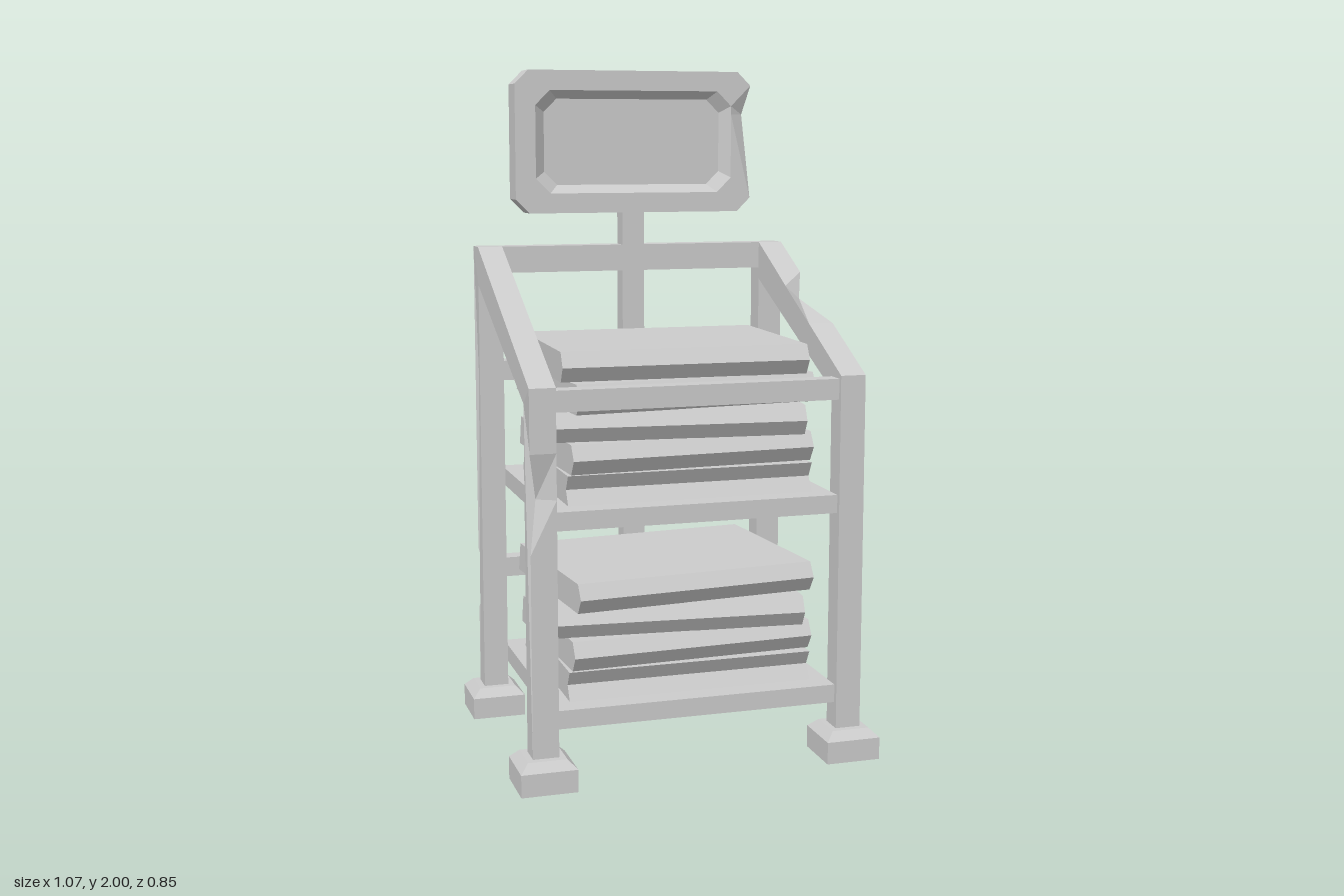
import * as THREE from 'three';

const material = new THREE.MeshStandardMaterial({ color: 0xcccccc, flatShading: true });

export function createModel() {
  const root = new THREE.Group();

  const add = (name, geometry, x = 0, y = 0, z = 0, parent = root) => {
    const mesh = new THREE.Mesh(geometry, material);
    mesh.name = name;
    mesh.position.set(x, y, z);
    parent.add(mesh);
    return mesh;
  };
  // Box given by its lower and upper limits
  const bar = (name, x0, x1, y0, y1, z0, z1) =>
    add(name, new THREE.BoxGeometry(x1 - x0, y1 - y0, z1 - z0), (x0 + x1) / 2, (y0 + y1) / 2, (z0 + z1) / 2);
  // Outline in (z, y), extruded across x from x0 to x1
  const acrossX = (points, x0, x1) => {
    const shape = new THREE.Shape(points.map(([z, y]) => new THREE.Vector2(z, y)));
    return new THREE.ExtrudeGeometry(shape, { depth: x1 - x0, bevelEnabled: false })
      .rotateY(-Math.PI / 2).translate(x1, 0, 0);
  };
  // Pushes the outer vertices found at (z, y) inwards to make a dent
  const dent = (geometry, z, y, dx, dy, dz) => {
    const p = geometry.attributes.position;
    for (let i = 0; i < p.count; i++) {
      if (Math.abs(p.getX(i)) > 0.48 && Math.hypot(p.getZ(i) - z, p.getY(i) - y) < 0.003) {
        p.setXYZ(i, p.getX(i) + dx, y + dy, z + dz);
      }
    }
    geometry.computeVertexNormals();
  };

  // Side frames: front post, sloping rail and rear post in one piece
  const inner = [[-0.31, 0.08], [-0.31, 1.355], [0.31, 1.08], [0.31, 0.08]];
  const leftFrame = acrossX([
    [0.38, 0.08], [0.38, 1.13], [0.13, 1.253], [-0.07, 1.35], [-0.14, 1.386],
    [-0.31, 1.47], [-0.38, 1.47], [-0.38, 0.08], ...inner], 0.415, 0.49);
  dent(leftFrame, -0.07, 1.35, -0.03, -0.04, 0);
  add('leftSideFrame', leftFrame);
  const rightFrame = acrossX([
    [0.38, 0.08], [0.38, 0.67], [0.379, 0.82], [0.38, 0.95], [0.38, 1.13], [-0.31, 1.47],
    [-0.38, 1.47], [-0.38, 0.52], [-0.379, 0.42], [-0.38, 0.33], [-0.38, 0.08], ...inner], -0.49, -0.415);
  dent(rightFrame, 0.379, 0.82, 0.022, 0, -0.03);
  dent(rightFrame, -0.379, 0.42, 0.022, 0, 0.03);
  add('rightSideFrame', rightFrame);

  // Feet with a sloped upper edge
  const footProfile = [[0, 0], [0.081, 0], [0.081, 0.065], [0.056, 0.09], [0, 0.09]]
    .map(([r, y]) => new THREE.Vector2(r * Math.SQRT2, y));
  for (const x of [-0.453, 0.453]) {
    for (const z of [-0.345, 0.345]) {
      add('foot', new THREE.LatheGeometry(footProfile, 4).rotateY(Math.PI / 4), x, 0, z);
    }
  }

  // Shelves, crossbars and sign post
  for (const y of [0.165, 0.73]) bar('shelf', -0.415, 0.415, y, y + 0.053, -0.365, 0.365);
  bar('topRail', -0.415, 0.415, 1.39, 1.47, -0.38, -0.31);
  bar('frontRail', -0.415, 0.415, 1.06, 1.12, 0.31, 0.367);
  for (const y of [0.44, 1.06]) bar('backRail', -0.415, 0.415, y, y + 0.06, -0.367, -0.31);
  bar('signPost', -0.035, 0.035, 0.17, 1.6, -0.37, -0.31);

  // Stacks of folded sheets, each turned a little
  const fold = [[-0.29, 0], [0.268, 0], [0.295, 0.043], [0.27, 0.086], [-0.272, 0.086]];
  const hollow = [[-0.285, 0], [0.295, 0], [0.27, 0.043], [0.295, 0.086], [-0.265, 0.086]];
  const turns = [0, 2.5, -5, 5, -1.3];
  const addStack = (name, y, count) => {
    const stack = new THREE.Group();
    stack.name = name;
    stack.position.y = y;
    root.add(stack);
    for (let i = 0; i < count; i++) {
      const sheet = add('foldedBundle', acrossX(i ? fold : hollow, -0.363, 0.363), 0, i * 0.0855, i === 4 ? -0.016 : 0, stack);
      sheet.rotation.y = THREE.MathUtils.degToRad(turns[i]);
    }
  };
  addStack('lowerStack', 0.217, 4);
  addStack('upperStack', 0.782, 5);

  // Sign: chamfered rings lofted from the rear recess round to the front recess
  const ring = (w, h, c, z, chip = 0) => [
    [w, -h + c, z], [w - chip, 0.085, z - chip], [w, h - c, z], [w - c, h, z], [-w + c, h, z],
    [-w, h - c, z], [-w, -h + c, z], [-w + c, -h, z], [w - c, -h, z]];
  const rings = [
    ring(0.28, 0.13, 0.04, -0.015), ring(0.312, 0.155, 0.045, -0.043), ring(0.375, 0.215, 0.042, -0.043),
    ring(0.375, 0.215, 0.042, 0.043, 0.022), ring(0.312, 0.155, 0.045, 0.043), ring(0.28, 0.13, 0.04, 0.015)];
  const n = rings[0].length;
  const index = [];
  for (let r = 0; r < rings.length - 1; r++) {
    for (let j = 0; j < n; j++) {
      const a = r * n + j, b = r * n + (j + 1) % n;
      index.push(a, b, b + n, a, b + n, a + n);
    }
  }
  const last = (rings.length - 1) * n;
  for (let j = 1; j < n - 1; j++) index.push(0, j + 1, j, last, last + j, last + j + 1);
  const sign = new THREE.BufferGeometry();
  sign.setAttribute('position', new THREE.Float32BufferAttribute(rings.flat(2), 3));
  sign.setIndex(index);
  const signFlat = sign.toNonIndexed();
  signFlat.computeVertexNormals();
  add('signPanel', signFlat, 0, 1.785, -0.333);

  return root;
}
